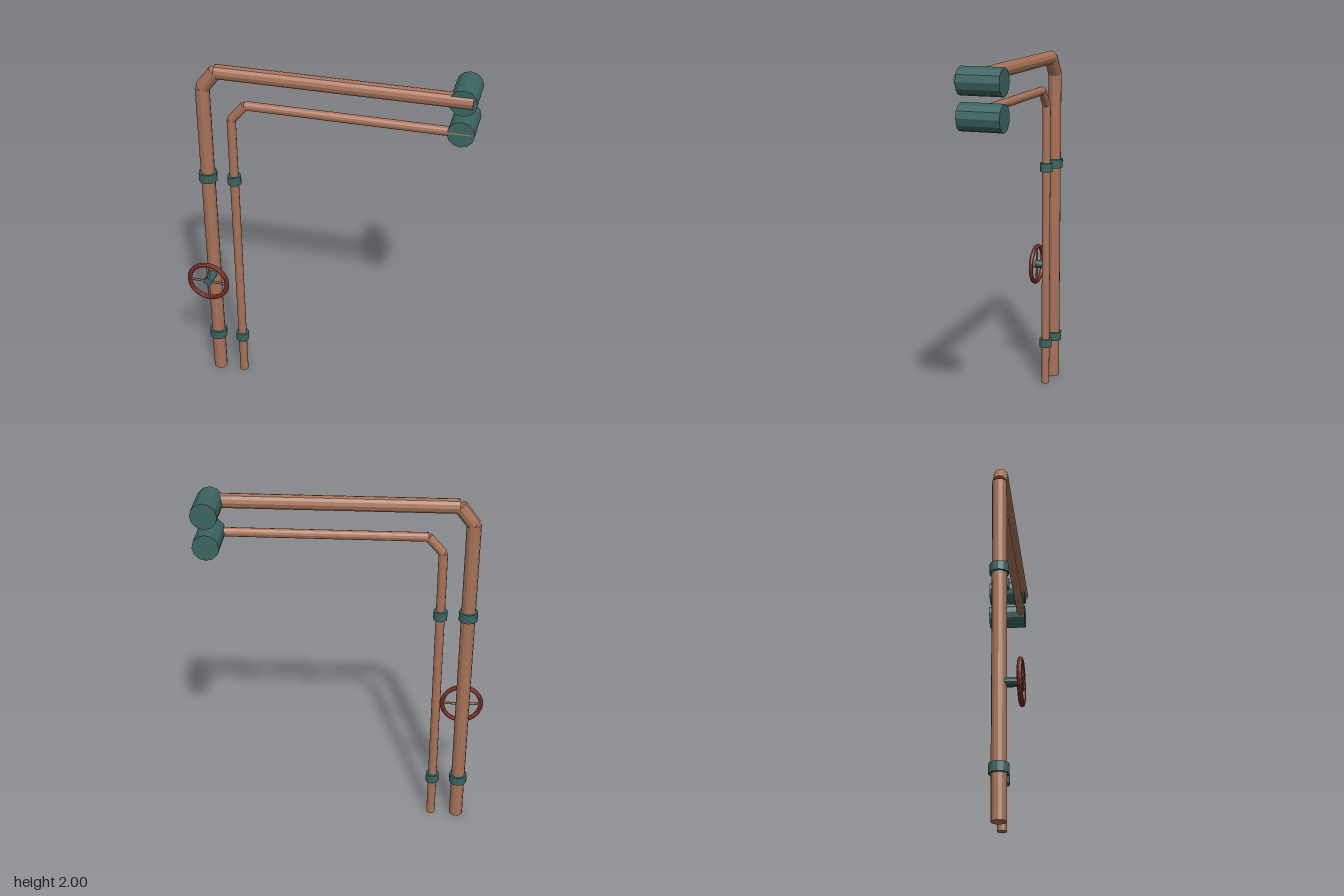
import * as THREE from 'three';

const copper = new THREE.MeshStandardMaterial({ color: 0xa87359, flatShading: true });
copper.name = 'copper';
const teal = new THREE.MeshStandardMaterial({ color: 0x3b6562, flatShading: true });
teal.name = 'teal iron';
const red = new THREE.MeshStandardMaterial({ color: 0x8f3b32, flatShading: true });
red.name = 'red paint';

const PIPE_Z = 0.037;

// Closed cylinder running between two points
function rod(name, from, to, radius, sides, material) {
  const a = new THREE.Vector3(...from);
  const b = new THREE.Vector3(...to);
  const dir = b.clone().sub(a);
  const mesh = new THREE.Mesh(new THREE.CylinderGeometry(radius, radius, dir.length(), sides), material);
  mesh.position.copy(a).add(b).multiplyScalar(0.5);
  mesh.quaternion.setFromUnitVectors(new THREE.Vector3(0, 1, 0), dir.normalize());
  mesh.name = name;
  return mesh;
}

// Upright, angled elbow, horizontal run, two collars and an end drum
function pipeLine(name, { x, radius, top, bendX, runY, collar, drumY }) {
  const g = new THREE.Group();
  g.name = name;
  g.add(rod('uprightPipe', [x, 0, PIPE_Z], [x, top, PIPE_Z], radius, 12, copper));
  g.add(rod('elbow', [x, top, PIPE_Z], [bendX, runY, PIPE_Z], radius, 12, copper));
  g.add(rod('horizontalPipe', [bendX, runY, PIPE_Z], [0.74, runY, PIPE_Z], radius, 12, copper));
  for (const y of [0.254, 1.317]) {
    g.add(rod('collar', [x, y - 0.025, PIPE_Z], [x, y + 0.025, PIPE_Z], collar, 12, teal));
  }
  g.add(rod('endDrum', [0.691, drumY, -0.159], [0.691, drumY, 0.06], 0.069, 12, teal));
  return g;
}

// Hand wheel on a short stem, facing the front
function valve() {
  const g = new THREE.Group();
  g.name = 'valve';
  g.position.set(-0.64, 0.692, 0);
  const rim = new THREE.Mesh(new THREE.TorusGeometry(0.109, 0.013, 8, 24), red);
  rim.name = 'wheelRim';
  rim.position.z = 0.144;
  g.add(rim);
  g.add(rod('stem', [0, 0, PIPE_Z], [0, 0, 0.152], 0.025, 10, teal));
  g.add(rod('spoke', [-0.109, 0, 0.144], [0.109, 0, 0.144], 0.007, 6, copper));
  g.add(rod('spoke', [0, -0.109, 0.144], [0, 0.109, 0.144], 0.007, 6, copper));
  return g;
}

export function createModel() {
  const model = new THREE.Group();
  model.name = 'pipework';
  model.add(pipeLine('largePipe', {
    x: -0.64, radius: 0.038, top: 1.84, bendX: -0.565, runY: 1.936, collar: 0.05, drumY: 1.931,
  }));
  model.add(pipeLine('smallPipe', {
    x: -0.493, radius: 0.024, top: 1.675, bendX: -0.415, runY: 1.764, collar: 0.037, drumY: 1.763,
  }));
  model.add(valve());
  return model;
}
